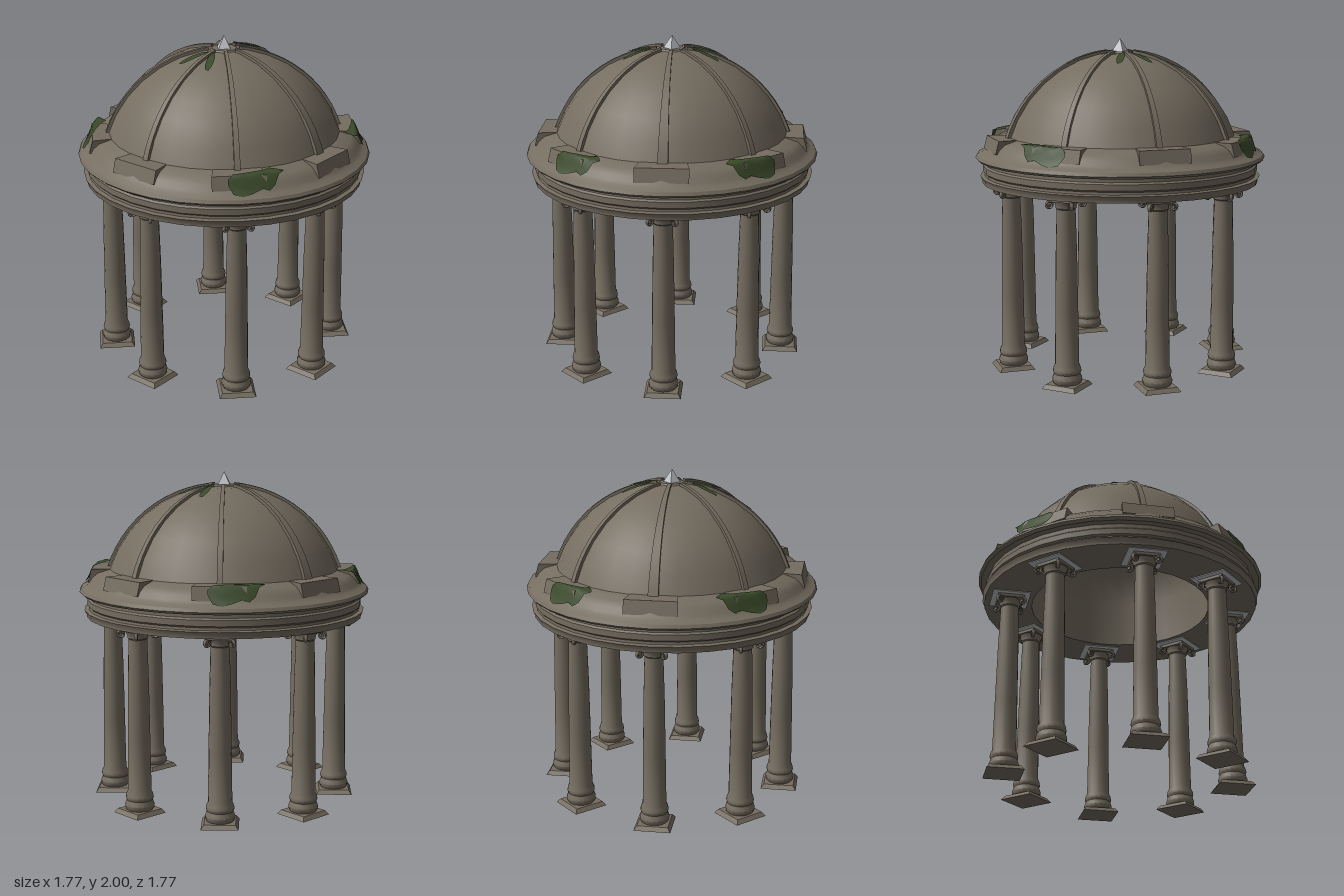
import * as THREE from 'three';
import { toCreasedNormals } from 'three/addons/utils/BufferGeometryUtils.js';

const mat = (name, color, side = THREE.FrontSide) => {
  const m = new THREE.MeshStandardMaterial({ color, side });
  m.name = name;
  return m;
};

const DOME_R = 0.74, DOME_Y = 1.18;

export function createModel() {
  const stone = mat('weathered stone', 0x756d60);
  const pale = mat('pale grey', 0xc2c4c8);
  const green = mat('ivy green', 0x3a4a2a, THREE.DoubleSide);

  const add = (parent, name, geo, material) => {
    const m = new THREE.Mesh(geo, material);
    m.name = name;
    parent.add(m);
    return m;
  };
  const lathe = (pts, seg, crease = 0.6) =>
    toCreasedNormals(new THREE.LatheGeometry(pts.map(p => new THREE.Vector2(...p)), seg), crease);
  // Move every vertex of a geometry by a rule
  const reshape = (geo, rule) => {
    const p = geo.attributes.position, v = new THREE.Vector3();
    for (let i = 0; i < p.count; i++) {
      v.fromBufferAttribute(p, i);
      p.setXYZ(i, ...rule(v));
    }
    geo.computeVertexNormals();
    return geo;
  };

  const model = new THREE.Group();
  model.name = 'domed rotunda';

  // Entablature: architrave, frieze, cornice, sloping ledge and inner drum wall
  add(model, 'entablature', lathe([
    [0.55, 1.13], [0.845, 1.13], [0.845, 1.145], [0.858, 1.17], [0.832, 1.175],
    [0.83, 1.19], [0.84, 1.2], [0.84, 1.235], [0.828, 1.245], [0.828, 1.27],
    [0.87, 1.27], [0.886, 1.285], [0.876, 1.305], [0.845, 1.322], [0.826, 1.338],
    [0.81, 1.365], [0.775, 1.395], [0.69, 1.42],
  ], 32), stone);

  // Dome shell and its inner lining
  const cap = [];
  for (let i = 0; i <= 7; i++) {
    const a = Math.asin(0.705 / DOME_R) * (1 - i / 7);
    cap.push([DOME_R * Math.sin(a), DOME_Y + DOME_R * Math.cos(a)]);
  }
  add(model, 'dome', lathe(cap, 32), stone);
  add(model, 'domeLining', lathe([
    [0, 1.88], [0.16, 1.865], [0.3, 1.82], [0.43, 1.74], [0.52, 1.62], [0.55, 1.42], [0.55, 1.13],
  ], 32), stone);

  // Ribs up the dome and flat blocks on the ledge
  const low = Math.asin(0.705 / DOME_R), high = Math.asin(0.09 / DOME_R);
  for (let i = 0; i < 8; i++) {
    const width = i % 4 === 2 ? 0.062 : 0.036;
    const rib = reshape(new THREE.BoxGeometry(1, 1, 1, 1, 1, 12), v => {
      const t = v.z + 0.5, a = high + (low - high) * t, r = DOME_R + 0.03 * v.y;
      return [v.x * (0.02 + (width - 0.02) * t), DOME_Y + r * Math.cos(a), r * Math.sin(a)];
    });
    add(model, 'domeRib', toCreasedNormals(rib, 0.6), stone).rotation.y = i * Math.PI / 4;

    const block = reshape(new THREE.BoxGeometry(1, 1, 1), v => [
      v.x * (v.z > 0 ? 0.31 : 0.27),
      v.y > 0 ? 1.42 : 1.34,
      v.z < 0 ? 0.68 : v.y > 0 ? 0.798 : 0.82,
    ]);
    add(model, 'ledgeBlock', toCreasedNormals(block, 0.4), stone).rotation.y = i * Math.PI / 4;
  }

  // Crown boss and pointed finial
  const boss = add(model, 'crownBoss', new THREE.CylinderGeometry(0.075, 0.11, 0.035, 8), stone);
  boss.geometry = toCreasedNormals(boss.geometry, 0.4);
  boss.position.y = 1.905;
  const finial = new THREE.ConeGeometry(0.06, 0.09, 4);
  add(model, 'finial', toCreasedNormals(finial, 0.2), pale).position.y = 1.955;

  // Columns
  const shaft = lathe([
    [0.075, 0.02], [0.086, 0.035], [0.089, 0.055], [0.082, 0.073], [0.078, 0.085],
    [0.084, 0.1], [0.081, 0.118], [0.071, 0.14], [0.067, 0.45], [0.062, 0.8],
    [0.055, 1.06], [0.061, 1.068], [0.061, 1.08], [0.07, 1.1], [0.075, 1.115],
  ], 16);
  const plinth = toCreasedNormals(
    new THREE.CylinderGeometry(0.092 * Math.SQRT2, 0.11 * Math.SQRT2, 0.025, 4).rotateY(Math.PI / 4), 0.3);
  const abacus = new THREE.BoxGeometry(0.16, 0.018, 0.16);
  const plate = new THREE.BoxGeometry(0.23, 0.006, 0.23);
  const scroll = new THREE.TorusGeometry(0.019, 0.007, 6, 14);
  const eye = new THREE.CylinderGeometry(0.009, 0.009, 0.022, 8).rotateX(Math.PI / 2);
  const web = new THREE.BoxGeometry(0.06, 0.014, 0.02);

  for (let i = 0; i < 8; i++) {
    const turn = new THREE.Group();
    turn.rotation.y = i * Math.PI / 4;
    model.add(turn);
    const column = new THREE.Group();
    column.name = 'column';
    column.position.z = 0.69;
    turn.add(column);
    add(column, 'plinth', plinth, stone).position.y = 0.0125;
    add(column, 'shaft', shaft, stone);
    add(column, 'abacus', abacus, stone).position.y = 1.116;
    add(column, 'bearingPlate', plate, pale).position.y = 1.128;
    // Four corner scrolls of the capital
    for (let k = 0; k < 4; k++) {
      const corner = new THREE.Group();
      corner.name = 'capitalScroll';
      corner.rotation.y = Math.PI / 4 + k * Math.PI / 2;
      column.add(corner);
      const s = add(corner, 'scroll', scroll, stone);
      s.position.set(0.1, 1.089, 0);
      s.scale.z = 1.6;
      add(corner, 'scrollEye', eye, stone).position.set(0.1, 1.087, 0);
      add(corner, 'scrollWeb', web, stone).position.set(0.075, 1.108, 0);
    }
  }

  // Ivy patches on the ledge: [angle in degrees, inner radius, outer radius]
  const ivyRows = [
    [26.5, 0.785, 0.795], [29, 0.745, 0.805], [31, 0.725, 0.825], [33.5, 0.74, 0.84],
    [36, 0.75, 0.83], [40, 0.76, 0.845], [44, 0.775, 0.855], [47.5, 0.785, 0.845], [49.5, 0.81, 0.82],
  ];
  const ledgeY = r => r < 0.8 ? 1.427 : r < 0.83 ? 1.427 - (r - 0.8) * 2.6 : 1.349 - (r - 0.83) * 1.3;
  // Leaf outline beside the crown, laid over the dome
  const leaf = new THREE.Shape();
  leaf.moveTo(0.015, 0.12);
  leaf.quadraticCurveTo(0.02, 0.19, 0.075, 0.27);
  leaf.quadraticCurveTo(0.095, 0.29, 0.112, 0.28);
  leaf.quadraticCurveTo(0.1, 0.2, 0.04, 0.135);

  for (const sx of [-1, 1]) for (const sz of [-1, 1]) {
    const ivy = reshape(new THREE.PlaneGeometry(1, 1, ivyRows.length - 1, 5), v => {
      const [deg, a, b] = ivyRows[Math.round((v.x + 0.5) * (ivyRows.length - 1))];
      const r = a + (b - a) * (0.5 - v.y), t = deg * Math.PI / 180;
      return [sx * (r + 0.006) * Math.cos(t), ledgeY(r), sz * (r + 0.006) * Math.sin(t)];
    });
    // Keep the face order outward on mirrored copies
    if (sx * sz > 0) ivy.setIndex(Array.from(ivy.index.array).reverse());
    ivy.computeVertexNormals();
    add(model, 'ivyPatch', ivy, green);

    const blade = reshape(new THREE.ShapeGeometry(leaf, 6), v => {
      const y = DOME_Y + Math.sqrt((DOME_R + 0.012) ** 2 - v.x * v.x - v.y * v.y);
      return [sx * v.x, y, sz * v.y];
    });
    if (sx * sz > 0) blade.setIndex(Array.from(blade.index.array).reverse());
    blade.computeVertexNormals();
    add(model, 'crownLeaf', blade, green);
  }

  return model;
}
